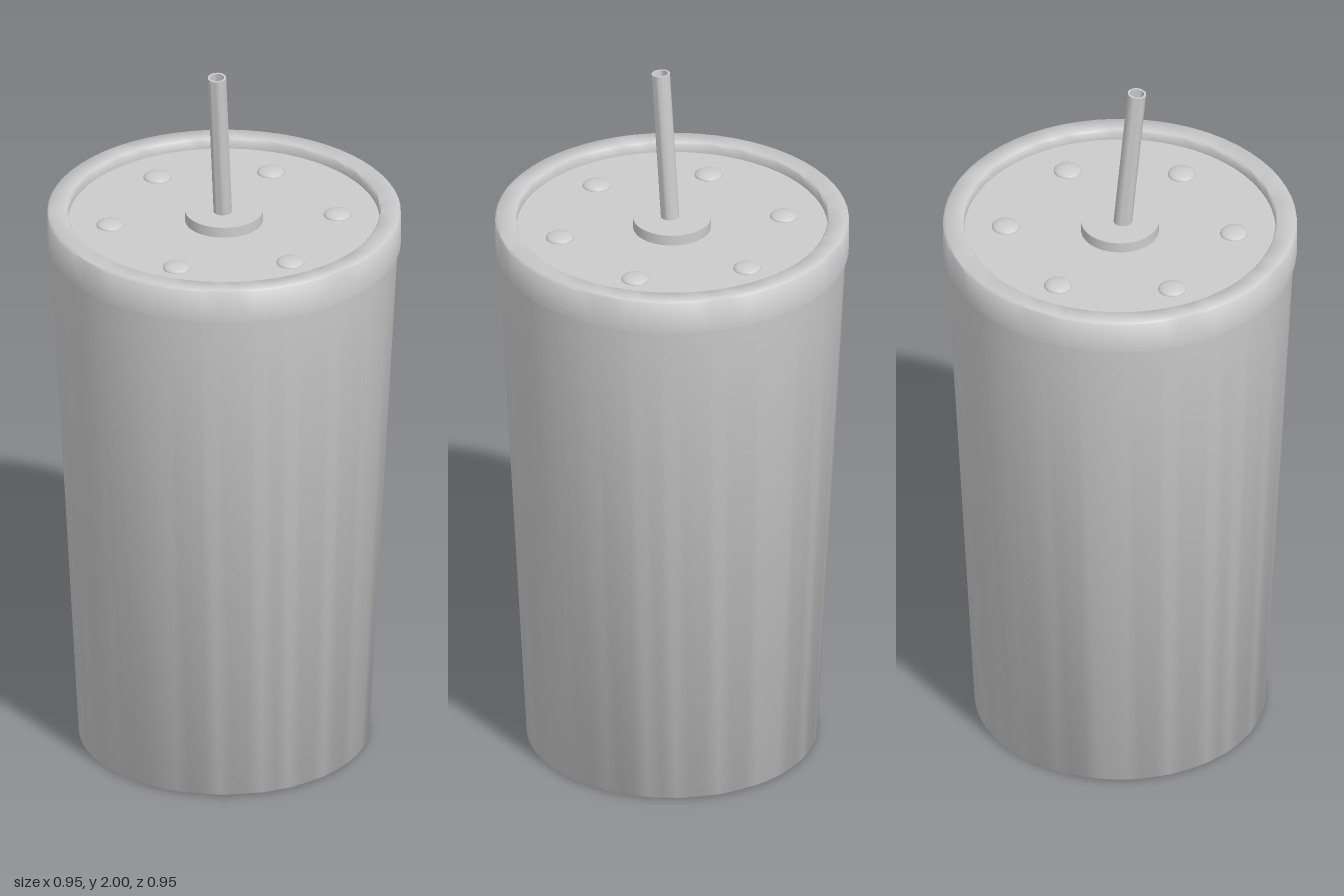
import * as THREE from 'three';
import { toCreasedNormals } from 'three/addons/utils/BufferGeometryUtils.js';

const material = new THREE.MeshStandardMaterial({ color: 0xcccccc });

// Revolves a [radius, height] profile, keeping its hard edges crisp.
function turned(name, profile, segments = 64) {
  const points = profile.map(([r, y]) => new THREE.Vector2(r, y));
  const geometry = toCreasedNormals(new THREE.LatheGeometry(points, segments), 0.9);
  const mesh = new THREE.Mesh(geometry, material);
  mesh.name = name;
  return mesh;
}

export function createModel() {
  const model = new THREE.Group();
  model.name = 'tumbler';

  // Tapered cup with a recessed base
  model.add(turned('cup', [
    [0, 0.065], [0.37, 0.065], [0.376, 0], [0.388, 0], [0.392, 0.005], [0.47, 1.5],
  ]));

  // Lid: raised rim around a sunken floor
  const floorY = 1.545;
  model.add(turned('lid', [
    [0.45, 1.48], [0.477, 1.48], [0.477, 1.571], [0.473, 1.575],
    [0.424, 1.575], [0.42, 1.571], [0.42, floorY], [0, floorY],
  ]));

  // Collar that holds the straw
  model.add(turned('strawCollar', [
    [0.105, floorY], [0.105, 1.575], [0, 1.575],
  ], 48));

  // Ring of six low domes on the lid floor
  const dome = new THREE.SphereGeometry(0.038, 24, 8, 0, Math.PI * 2, 0, Math.PI / 2);
  for (let i = 0; i < 6; i++) {
    const angle = (i / 6) * Math.PI * 2;
    const bump = new THREE.Mesh(dome, material);
    bump.name = 'lidDome' + (i + 1);
    bump.position.set(Math.sin(angle) * 0.308, floorY, Math.cos(angle) * 0.308);
    bump.scale.y = 0.35;
    model.add(bump);
  }

  // Hollow straw leaning towards the front
  const straw = turned('straw', [
    [0.019, 0], [0.025, 0], [0.025, 0.5], [0.019, 0.5], [0.019, 0],
  ], 24);
  straw.position.set(0, 1.5, 0.001);
  straw.rotation.x = 0.09;
  model.add(straw);

  return model;
}
